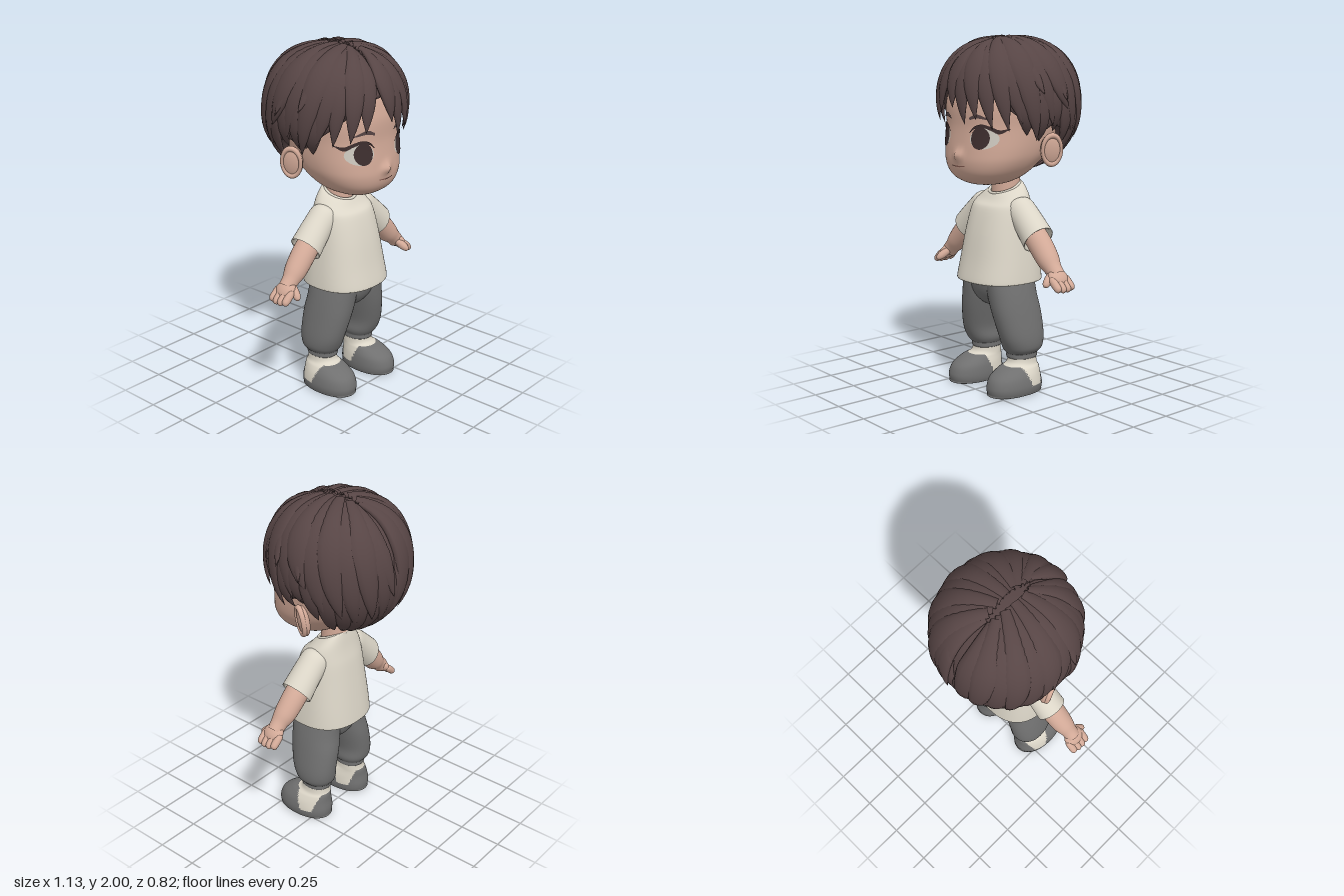
import * as THREE from 'three';

const V = (x, y, z) => new THREE.Vector3(x, y, z);
const mat = (name, color, side = THREE.FrontSide) => {
  const m = new THREE.MeshStandardMaterial({ color, side });
  m.name = name;
  return m;
};

// Skin a list of closed rings, each an array of points
function skin(rings) {
  const n = rings[0].length, index = [];
  for (let i = 0; i < rings.length - 1; i++) {
    for (let j = 0; j < n; j++) {
      const a = i * n + j, b = i * n + (j + 1) % n;
      index.push(a, b, b + n, a, b + n, a + n);
    }
  }
  const geo = new THREE.BufferGeometry().setFromPoints(rings.flat());
  geo.setIndex(index);
  geo.computeVertexNormals();
  return geo;
}

// Smoothly interpolated rows of [y, centreX, centreZ, radiusX, radiusZ]
function profile(rows) {
  const a = new THREE.CatmullRomCurve3(rows.map(r => V(r[0], r[1], r[2])), false, 'catmullrom');
  const b = new THREE.CatmullRomCurve3(rows.map(r => V(r[3], r[4], 0)), false, 'catmullrom');
  return t => {
    const p = a.getPoint(t), q = b.getPoint(t);
    return { y: p.x, cx: p.y, cz: p.z, rx: Math.max(q.x, 0.001), rz: Math.max(q.y, 0.001) };
  };
}

// Upright loft of superellipse sections, with an optional vertex rule
function loft(rows, power = 2.3, steps = 36, sides = 40, rule = p => p) {
  const at = profile(rows), rings = [];
  const bend = v => Math.sign(v) * Math.abs(v) ** (2 / power);
  for (let i = 0; i <= steps; i++) {
    const r = at(i / steps);
    rings.push(Array.from({ length: sides }, (_, j) => {
      const k = j / sides * Math.PI * 2;
      return rule(V(r.cx + r.rx * bend(Math.sin(k)), r.y, r.cz + r.rz * bend(Math.cos(k))));
    }));
  }
  return skin(rings);
}

// Round limb along points [x, y, z, radius]
function limb(points, sides = 20) {
  const curve = new THREE.CatmullRomCurve3(points.map(p => V(p[0], p[1], p[2])), false, 'catmullrom');
  const radius = new THREE.CatmullRomCurve3(points.map(p => V(p[3], 0, 0)), false, 'catmullrom');
  const t = V(...points.at(-1)).sub(V(...points[0])).normalize();
  const u = V(0, 0, 1).cross(t).normalize(), v = t.clone().cross(u);
  const steps = points.length * 5;
  return skin(Array.from({ length: steps + 1 }, (_, i) => {
    const c = curve.getPoint(i / steps), r = Math.max(radius.getPoint(i / steps).x, 0.0005);
    return Array.from({ length: sides }, (_, j) => {
      const k = j / sides * Math.PI * 2;
      return c.clone().addScaledVector(u, Math.cos(k) * r).addScaledVector(v, Math.sin(k) * r);
    });
  }));
}

// Head shape, and the depth of the face at a point
const headRows = [
  [1.18, 0, 0.17, 0.005, 0.005], [1.183, 0, 0.16, 0.09, 0.09], [1.21, 0, 0.155, 0.165, 0.155],
  [1.25, 0, 0.142, 0.22, 0.203], [1.31, 0, 0.115, 0.262, 0.245], [1.38, 0, 0.08, 0.285, 0.277],
  [1.5, 0, 0.038, 0.3, 0.307], [1.65, 0, 0.02, 0.31, 0.32], [1.8, 0, 0.005, 0.25, 0.265], [1.9, 0, 0, 0.02, 0.02]];
const headAt = profile(headRows);
function faceZ(x, y) {
  let lo = 0, hi = 1;
  for (let i = 0; i < 30; i++) {
    const m = (lo + hi) / 2;
    if (headAt(m).y < y) lo = m; else hi = m;
  }
  const r = headAt(lo);
  return r.cz + r.rz * Math.max(0, 1 - Math.abs(x / r.rx) ** 2.3) ** (1 / 2.3);
}

// Thin face details that hug the head
function oval(x, y, rx, ry, lift) {
  const geo = new THREE.RingGeometry(0.001, 1, 36, 6), p = geo.attributes.position;
  for (let i = 0; i < p.count; i++) {
    const px = x + p.getX(i) * rx, py = y + p.getY(i) * ry;
    p.setXYZ(i, px, py, faceZ(px, py) + lift);
  }
  geo.computeVertexNormals();
  return geo;
}
function stroke(points, lift) {
  const geo = new THREE.PlaneGeometry(1, 1, 24, 2), p = geo.attributes.position;
  const curve = new THREE.CatmullRomCurve3(points.map(q => V(...q)), false, 'catmullrom');
  for (let i = 0; i < p.count; i++) {
    const c = curve.getPoint(p.getX(i) + 0.5), y = c.y + p.getY(i) * 2 * c.z;
    p.setXYZ(i, c.x, y, faceZ(c.x, y) + lift);
  }
  geo.computeVertexNormals();
  return geo;
}

// Hair volume: direction from azimuth and height, then point on the volume
const hairDir = (az, y) => {
  const dy = THREE.MathUtils.clamp((y - 1.6) / 0.39, -0.99, 0.99), h = Math.sqrt(1 - dy * dy);
  const a = THREE.MathUtils.degToRad(az);
  return V(Math.sin(a) * h, dy, Math.cos(a) * h);
};
function hairPoint(d, scale) {
  const p = d.y > 0 ? 2.3 : 2;
  const k = scale / (Math.hypot(d.x, d.z) ** p + Math.abs(d.y) ** p) ** (1 / p);
  return V(d.x * k * 0.378, 1.6 + d.y * k * 0.378, d.z * k * 0.388);
}
const capHem = [[0, 1.76], [20, 1.74], [40, 1.66], [60, 1.56], [78, 1.46], [92, 1.52], [108, 1.48], [125, 1.34], [150, 1.28], [181, 1.26]];
const tipHem = [[0, 1.6], [50, 1.5], [62, 1.49], [78, 1.38], [92, 1.49], [108, 1.4], [125, 1.27], [150, 1.23], [181, 1.215]];
function hem(table, az) {
  const i = table.findIndex(r => r[0] > az), [a, ya] = table[i - 1], [b, yb] = table[i];
  return ya + (yb - ya) * (az - a) / (b - a);
}
function hairCap() {
  const rings = [], n = 72;
  for (let i = 0; i <= 24; i++) {
    rings.push(Array.from({ length: n }, (_, j) => {
      const az = j / n * 360, y = hem(capHem, az > 180 ? 360 - az : az);
      const polar = Math.acos((y - 1.6) / 0.39) * (1 - Math.max(0, i - 1) / 23) + 0.002;
      const a = THREE.MathUtils.degToRad(az);
      const d = V(Math.sin(a) * Math.sin(polar), Math.cos(polar), Math.cos(a) * Math.sin(polar));
      return hairPoint(d, i === 0 ? 0.8 : 0.975);
    }));
  }
  return skin(rings);
}
// Tapered lock lying on the hair volume, from one direction to another
function lock(from, mid, to, width, thick, scale = 1, lift = 0) {
  const at = t => {
    const d = from.clone().multiplyScalar((1 - t) ** 2).addScaledVector(mid, 2.6 * t * (1 - t)).addScaledVector(to, t * t);
    return hairPoint(d.normalize(), scale + lift * t ** 4);
  };
  return skin(Array.from({ length: 19 }, (_, i) => {
    const t = i / 18, c = at(t), tan = at(t + 0.01).sub(at(t - 0.01)).normalize();
    const n = V(c.x, c.y - 1.6, c.z).normalize();
    const b = n.clone().cross(tan).normalize();
    n.copy(tan).cross(b);
    const taper = Math.max(0.01, (1 - t ** 3.5) * Math.min(1, 0.35 + 1.6 * t));
    const w = width * taper, h = thick * Math.max(0.01, 1 - t ** 5) * Math.min(1, 0.5 + 2 * t);
    return Array.from({ length: 12 }, (_, j) => {
      const k = j / 12 * Math.PI * 2;
      return c.clone().addScaledVector(b, Math.cos(k) * w).addScaledVector(n, Math.sin(k) * h);
    });
  }));
}

export function createModel() {
  const M = {
    skin: mat('skin', 0xd3aa98), hair: mat('dark brown hair', 0x574545, THREE.DoubleSide),
    cloth: mat('cream cloth', 0xdcd6c8), grey: mat('grey cloth', 0x707070),
    white: mat('eye white', 0xcfcac0, THREE.DoubleSide), dark: mat('eye brown', 0x3d2e2e, THREE.DoubleSide),
    mouth: mat('mouth brown', 0x8a5f54, THREE.DoubleSide)
  };
  const model = new THREE.Group();
  const add = (parent, name, geo, material) => {
    const m = new THREE.Mesh(geo, material);
    m.name = name;
    parent.add(m);
    return m;
  };

  // Head with a small nose, and neck
  add(model, 'head', loft(headRows, 2.3, 70, 80, p => {
    if (p.z > 0.2) p.z += 0.03 * Math.exp(-((p.x / 0.028) ** 2) - ((p.y - 1.35) / 0.03) ** 2);
    return p;
  }), M.skin);
  add(model, 'neck', new THREE.CylinderGeometry(0.078, 0.085, 0.2, 32).translate(0, 1.17, 0.02), M.skin);
  add(model, 'mouth', stroke([[-0.055, 1.293, 0.002], [0, 1.289, 0.004], [0.055, 1.293, 0.002]], 0.004), M.mouth);

  // Shirt body, its neckline tilted down at the front
  add(model, 'shirt', loft([
    [0.66, 0, 0.07, 0.15, 0.15], [0.632, 0, 0.07, 0.225, 0.212], [0.632, 0, 0.07, 0.234, 0.221], [0.65, 0, 0.07, 0.235, 0.221],
    [0.75, 0, 0.065, 0.225, 0.203], [0.9, 0, 0.06, 0.206, 0.176], [1.02, 0, 0.052, 0.19, 0.148],
    [1.09, 0, 0.045, 0.172, 0.12], [1.135, 0, 0.037, 0.13, 0.1], [1.155, 0, 0.03, 0.092, 0.087], [1.15, 0, 0.03, 0.07, 0.07]],
  2.4, 50, 56, p => {
    p.y -= (p.z - 0.03) * 0.4 * THREE.MathUtils.smoothstep(p.y, 1.04, 1.155);
    return p;
  }), M.cloth);
  add(model, 'collar', new THREE.TorusGeometry(0.09, 0.009, 10, 48).rotateX(Math.PI / 2 + 0.38).translate(0, 1.152, 0.03), M.cloth);
  add(model, 'trouserSeat', loft([[0.47, 0, 0.065, 0.02, 0.05], [0.5, 0, 0.065, 0.08, 0.11], [0.56, 0, 0.07, 0.18, 0.145],
    [0.65, 0, 0.075, 0.195, 0.16]], 2.3, 16), M.grey);

  // Paired parts, built for one side and mirrored
  for (const s of [1, -1]) {
    const half = new THREE.Group();
    half.name = s > 0 ? 'leftSide' : 'rightSide';
    half.scale.x = s;
    model.add(half);

    add(half, 'eyeWhite', oval(0.16, 1.448, 0.073, 0.056, 0.003), M.white);
    add(half, 'iris', oval(0.147, 1.45, 0.05, 0.06, 0.006), M.dark);
    add(half, 'upperLash', stroke([[0.085, 1.478, 0.003], [0.115, 1.506, 0.007], [0.16, 1.516, 0.009], [0.2, 1.503, 0.01],
      [0.235, 1.485, 0.011], [0.268, 1.503, 0.001]], 0.008), M.dark);
    add(half, 'eyebrow', stroke([[0.08, 1.552, 0.007], [0.13, 1.567, 0.011], [0.195, 1.55, 0.003]], 0.005), M.hair);

    const ear = new THREE.Group();
    ear.name = 'ear';
    ear.position.set(0.325, 1.38, -0.03);
    ear.rotation.set(0, -0.5, -0.14);
    half.add(ear);
    add(ear, 'earBody', new THREE.SphereGeometry(1, 28, 20).scale(0.03, 0.092, 0.062), M.skin);
    add(ear, 'earRim', new THREE.TorusGeometry(1, 0.2, 12, 36).rotateY(Math.PI / 2).scale(0.08, 0.08, 0.052).translate(0.014, 0.003, 0), M.skin);

    add(half, 'sleeve', limb([[0.1, 1.055, 0.04, 0.06], [0.14, 1.04, 0.042, 0.083], [0.21, 0.985, 0.044, 0.085],
      [0.3, 0.897, 0.047, 0.091], [0.307, 0.89, 0.047, 0.09], [0.303, 0.894, 0.047, 0.08], [0.27, 0.925, 0.047, 0.06]], 32), M.cloth);
    add(half, 'arm', limb([[0.26, 0.93, 0.047, 0.066], [0.33, 0.862, 0.05, 0.068], [0.4, 0.79, 0.055, 0.062],
      [0.445, 0.748, 0.06, 0.048], [0.48, 0.715, 0.06, 0.045]], 28), M.skin);
    const palm = add(half, 'palm', new THREE.SphereGeometry(1, 24, 16).scale(0.056, 0.034, 0.062), M.skin);
    palm.position.set(0.487, 0.708, 0.063);
    palm.rotation.z = -0.78;
    for (let i = 0; i < 4; i++) {
      const z = 0.015 + i * 0.032, k = [0.9, 1, 1, 0.92][i];
      add(half, 'finger', limb([[0.48, 0.713, z, 0.01], [0.495, 0.7, z, 0.021], [0.5 + 0.04 * k, 0.7 - 0.04 * k, z, 0.021],
        [0.5 + 0.055 * k, 0.7 - 0.055 * k, z, 0.012], [0.5 + 0.057 * k, 0.7 - 0.057 * k, z, 0]], 14), M.skin);
    }
    add(half, 'thumb', limb([[0.455, 0.72, 0.09, 0.02], [0.468, 0.7, 0.115, 0.024], [0.477, 0.683, 0.138, 0.021],
      [0.483, 0.672, 0.152, 0.012], [0.485, 0.67, 0.156, 0]], 14), M.skin);

    add(half, 'trouserLeg', loft([[0.19, 0.157, 0.035, 0.06, 0.07], [0.195, 0.157, 0.035, 0.076, 0.09], [0.22, 0.157, 0.035, 0.077, 0.092],
      [0.228, 0.158, 0.035, 0.086, 0.1], [0.26, 0.162, 0.036, 0.102, 0.12], [0.33, 0.163, 0.045, 0.102, 0.138], [0.45, 0.138, 0.058, 0.107, 0.152],
      [0.55, 0.115, 0.07, 0.108, 0.152], [0.65, 0.1, 0.075, 0.095, 0.155]], 2.2, 40), M.grey);

    // Shoe: grey toe, heel and sole with cream sides and ankle
    const shoe = loft([[0, 0.175, 0.105, 0.01, 0.01], [0, 0.175, 0.105, 0.095, 0.16], [0.012, 0.175, 0.105, 0.11, 0.172],
      [0.05, 0.175, 0.105, 0.115, 0.175], [0.1, 0.172, 0.098, 0.107, 0.16], [0.14, 0.167, 0.07, 0.09, 0.128],
      [0.165, 0.16, 0.04, 0.076, 0.09], [0.22, 0.158, 0.035, 0.07, 0.08]], 2.2, 56, 72);
    const p = shoe.attributes.position, idx = shoe.index.array, faces = [[], []];
    for (let i = 0; i < idx.length; i += 3) {
      const tri = [idx[i], idx[i + 1], idx[i + 2]];
      const y = tri.reduce((a, k) => a + p.getY(k), 0) / 3, z = tri.reduce((a, k) => a + p.getZ(k), 0) / 3;
      const side = y > 0.05 && z < 0.04 + y * 0.42 && z > 0.005 - y * 0.3;
      faces[y > 0.155 || side ? 1 : 0].push(...tri);
    }
    shoe.setIndex(faces.flat());
    shoe.addGroup(0, faces[0].length, 0);
    shoe.addGroup(faces[0].length, faces[1].length, 1);
    add(half, 'shoe', shoe, [M.grey, M.cloth]);
  }

  // Hair: cap, fringe, long locks from the parting, and a lower tier
  const hair = new THREE.Group();
  hair.name = 'hair';
  model.add(hair);
  add(hair, 'hairCap', hairCap(), M.hair);
  const part = (s, z) => V(s * 0.07, 1, z / 0.4).normalize();
  const fringe = [[-52, 1.5], [-38, 1.52], [-25, 1.57], [0, 1.61], [12, 1.52], [24, 1.55], [37, 1.5], [51, 1.49]];
  fringe.forEach(([az, y], i) => {
    const s = az < 0 ? -1 : 1, mid = hairDir(az * 0.9 - (az >= 0 ? 5 : 0), 1.8);
    add(hair, 'fringeLock', lock(part(s, 0.2 - Math.abs(az) * 0.002), mid, hairDir(az, y), 0.066, 0.026, 1 + 0.018 * (i % 2)), M.hair);
  });
  for (const s of [1, -1]) {
    for (let i = 0; i < 9; i++) {
      const az = 62 + i * 14 + (s > 0 ? 0 : 4), back = az > 100;
      const y = hem(tipHem, az) + (back ? 0.13 + 0.05 * (i % 2) : 0.04);
      const mid = hairDir(s * (az - 14), back ? 1.76 : 1.82);
      add(hair, 'longLock', lock(part(s, 0.12 - i * 0.032), mid, hairDir(s * az, y), 0.078, 0.028, 1 + 0.018 * (i % 2), back ? 0.03 : 0), M.hair);
      const az2 = Math.min(az + 6, 180), y2 = hem(tipHem, az2);
      add(hair, 'lowerLock', lock(hairDir(s * (az2 - 8), 1.78), hairDir(s * (az2 - 4), (1.78 + y2) / 2), hairDir(s * az2, y2), 0.062, 0.022, 0.985, az < 100 ? -0.06 : 0), M.hair);
    }
    // Flicked side tips
    for (const [az, y] of [[78, 1.68], [100, 1.64]]) {
      add(hair, 'sideFlick', lock(hairDir(s * (az - 30), 1.92), hairDir(s * (az - 8), 1.82), hairDir(s * az, y), 0.05, 0.022, 1.01, 0.09), M.hair);
    }
  }
  add(hair, 'backFlick', lock(hairDir(165, 1.9), hairDir(165, 1.75), hairDir(176, 1.53), 0.06, 0.024, 1.01, 0.06), M.hair);
  return model;
}
